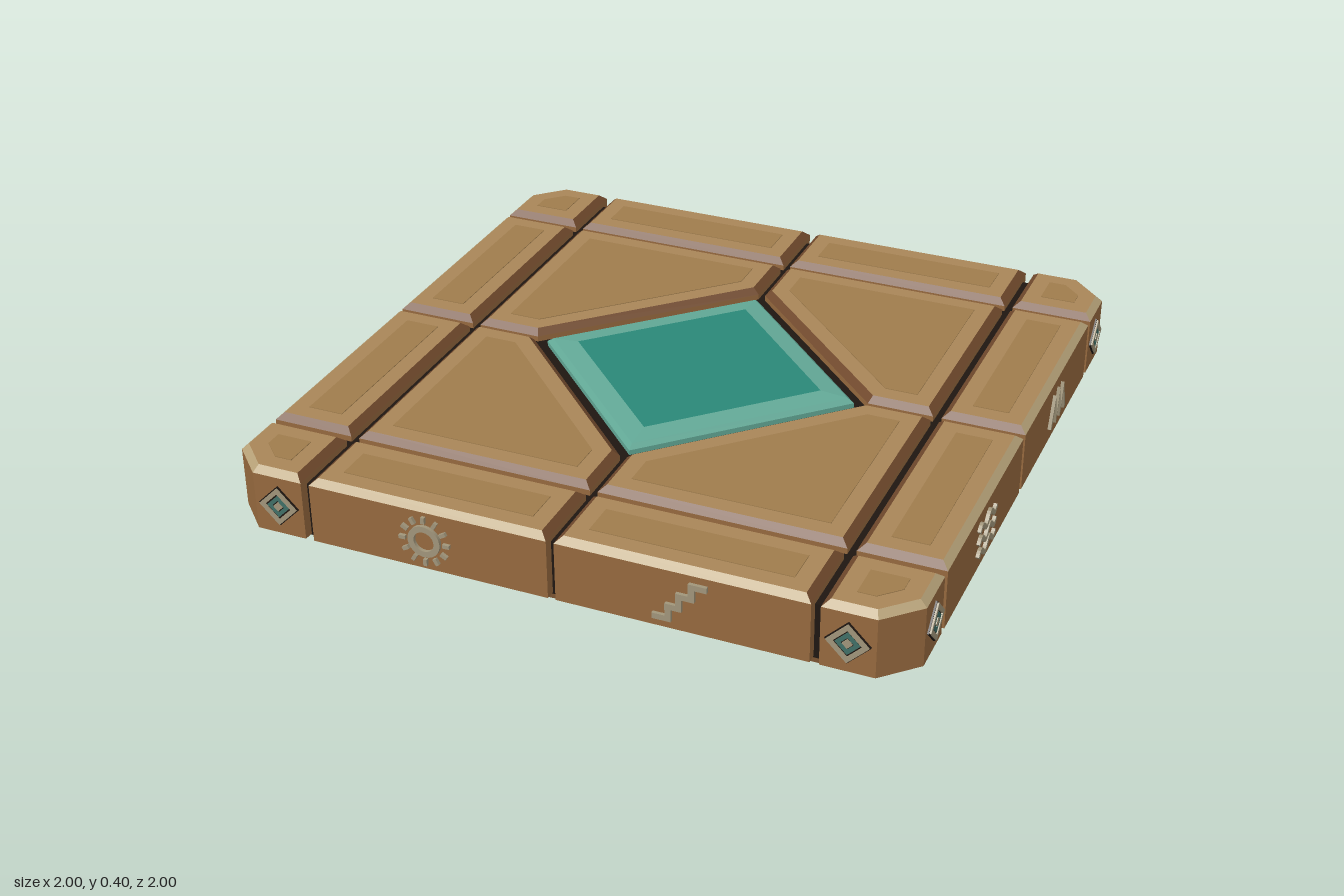
import * as THREE from 'three';

const mat = (color) => new THREE.MeshStandardMaterial({ color, flatShading: true });
const stone = mat(0x96693e), sand = mat(0xa88558), panelMat = mat(0x9f7c4c), edgeMat = mat(0xb5a077);
const bevelMat = mat(0x70492c), tierMat = mat(0x7a5431), dark = mat(0x1e1611);
const gemLight = mat(0x62a896), gemMat = mat(0x2a8778), carve = mat(0xa0957a), jade = mat(0x3f6f66);

// Convex polygons are lists of [x, z] with positive area
function orient(p) {
  let a = 0;
  p.forEach(([x, z], i) => { const q = p[(i + 1) % p.length]; a += x * q[1] - q[0] * z; });
  return a < 0 ? [...p].reverse() : p;
}

function inset(p, d) {
  const n = p.length;
  const normal = (a, b) => {
    const l = Math.hypot(b[0] - a[0], b[1] - a[1]);
    return [-(b[1] - a[1]) / l, (b[0] - a[0]) / l];
  };
  return p.map((c, i) => {
    const u = normal(p[(i + n - 1) % n], c), v = normal(c, p[(i + 1) % n]);
    const k = d / (1 + u[0] * v[0] + u[1] * v[1]);
    return [c[0] + k * (u[0] + v[0]), c[1] + k * (u[1] + v[1])];
  });
}

// Walls between stacked [polygon, y] rows, with optional caps and an edge filter
function loft(rows, { top = true, bottom = true, keep = () => true } = {}) {
  const pos = [];
  const put = (...pts) => pts.forEach(([c, y]) => pos.push(c[0], y, c[1]));
  for (let r = 0; r + 1 < rows.length; r++) {
    const [p, y0] = rows[r], [q, y1] = rows[r + 1];
    p.forEach((a, i) => {
      const j = (i + 1) % p.length, b = p[j];
      if (!keep(a, b)) return;
      put([a, y0], [q[i], y1], [q[j], y1]);
      put([a, y0], [q[j], y1], [b, y0]);
    });
  }
  const cap = ([p, y], up) => {
    for (let i = 1; i + 1 < p.length; i++)
      put([p[0], y], [p[up ? i + 1 : i], y], [p[up ? i : i + 1], y]);
  };
  if (bottom) cap(rows[0], false);
  if (top) cap(rows[rows.length - 1], true);
  const g = new THREE.BufferGeometry();
  g.setAttribute('position', new THREE.Float32BufferAttribute(pos, 3));
  g.computeVertexNormals();
  return g;
}

function add(parent, name, geometry, material) {
  const m = new THREE.Mesh(geometry, material);
  m.name = name;
  parent.add(m);
  return m;
}

const chamferedSquare = (r, c) => orient([[r, c - r], [r, r - c], [r - c, r], [c - r, r],
  [-r, r - c], [-r, c - r], [c - r, -r], [r - c, -r]]);

// Stone block: walls, bevel (pale on the outer rim), flat top and a faint panel
function block(parent, name, poly) {
  const g = new THREE.Group();
  g.name = name;
  parent.add(g);
  const p = orient(poly), q = inset(p, 0.02), f = inset(q, 0.05);
  const rim = (a, b) => {
    const x = Math.abs(a[0] + b[0]) / 2, z = Math.abs(a[1] + b[1]) / 2;
    return Math.max(x, z) > 0.98 || x + z > 1.85;
  };
  const open = { top: false, bottom: false };
  add(g, 'blockBody', loft([[p, 0.205], [p, 0.382]], { top: false }), stone);
  const bevel = [[p, 0.382], [q, 0.4]];
  add(g, 'innerBevel', loft(bevel, { ...open, keep: (a, b) => !rim(a, b) }), bevelMat);
  add(g, 'rimBevel', loft(bevel, { ...open, keep: rim }), edgeMat);
  add(g, 'blockTop', loft([[q, 0.4]], { bottom: false }), sand);
  add(g, 'topPanel', loft([[f, 0.4], [f, 0.402]], { bottom: false }), panelMat);
}

// Relief carvings, drawn in the local xy plane
const extrude = (shape, depth = 0.016) =>
  new THREE.ExtrudeGeometry(shape, { depth, bevelEnabled: false, curveSegments: 24 });

function ribbon(pts, w) {
  const left = [], right = [];
  pts.forEach(([x, y], i) => {
    const dir = (a, b) => new THREE.Vector2(b[0] - a[0], b[1] - a[1]).normalize();
    const d0 = dir(pts[Math.max(i - 1, 0)], pts[Math.max(i, 1)]);
    const d1 = i + 1 < pts.length ? dir(pts[i], pts[i + 1]) : d0;
    const k = w / 2 / Math.max(0.35, 1 + d0.dot(d1));
    const ox = -(d0.y + d1.y) * k, oy = (d0.x + d1.x) * k;
    left.push(new THREE.Vector2(x + ox, y + oy));
    right.unshift(new THREE.Vector2(x - ox, y - oy));
  });
  return extrude(new THREE.Shape([...left, ...right]));
}

function ring(rx, ry, w) {
  const s = new THREE.Shape().absellipse(0, 0, rx, ry, 0, Math.PI * 2);
  s.holes.push(new THREE.Path().absellipse(0, 0, rx - w, ry - w, 0, Math.PI * 2));
  return extrude(s);
}

function diamond(r, hole = 0) {
  const pts = (k) => [[k, 0], [0, k], [-k, 0], [0, -k]].map((a) => new THREE.Vector2(...a));
  const s = new THREE.Shape(pts(r));
  if (hole) s.holes.push(new THREE.Path(pts(hole)));
  return s;
}

const range = (n, f) => Array.from({ length: n }, (_, i) => f(i));

const carvings = {
  sun: (g) => {
    add(g, 'sunRing', ring(0.048, 0.048, 0.018), carve);
    for (let i = 0; i < 12; i++) {
      const a = i * Math.PI / 6, c = Math.cos(a), s = Math.sin(a);
      add(g, 'sunRay', ribbon([[c * 0.056, s * 0.056], [c * 0.076, s * 0.076]], 0.011), carve);
    }
  },
  stairs: (g) => add(g, 'stairLine', ribbon([[-0.075, -0.056], [-0.03, -0.056], [-0.03, -0.018], [0, -0.018],
    [0, 0.02], [0.035, 0.02], [0.035, 0.058], [0.078, 0.058]], 0.017), carve),
  waves: (g) => [-0.04, 0, 0.04].forEach((y) => add(g, 'waveLine',
    ribbon(range(25, (i) => [-0.078 + i * 0.0065, y + 0.013 * Math.sin(i / 24 * Math.PI * 4)]), 0.014), carve)),
  zigzag: (g) => add(g, 'zigzagLine', ribbon([[-0.075, -0.045], [-0.045, 0.042], [-0.022, -0.04], [0, 0.05],
    [0.022, -0.04], [0.045, 0.042], [0.075, -0.045]], 0.014), carve),
  spiral: (g) => add(g, 'spiralLine', ribbon(range(50, (i) => {
    const a = i / 49 * Math.PI * 4.5, r = 0.01 + 0.055 * i / 49;
    return [r * Math.cos(a), r * Math.sin(a)];
  }), 0.013), carve),
  eye: (g) => {
    add(g, 'eyeRing', ring(0.08, 0.052, 0.014), carve);
    add(g, 'eyeCentre', ring(0.042, 0.027, 0.013), carve);
  },
  gem: (g) => {
    add(g, 'charmBack', extrude(diamond(0.062), 0.011), dark);
    add(g, 'charmFrame', extrude(diamond(0.058, 0.04)), carve);
    add(g, 'charmStone', extrude(diamond(0.034, 0.018), 0.014), jade);
    add(g, 'charmCentre', extrude(diamond(0.014)), carve);
  },
};

export function createModel() {
  const model = new THREE.Group();
  model.name = 'steppedStonePlatform';

  // Stepped base and dark core
  const tier = (name, r, c, y0, y1, m) => {
    const p = chamferedSquare(r, c);
    add(model, name, loft([[p, y0], [p, y1 - 0.012], [inset(p, 0.012), y1]]), m);
  };
  tier('lowerTier', 0.64, 0.06, 0, 0.1, tierMat);
  tier('middleTier', 0.85, 0.07, 0.1, 0.205, tierMat);
  const core = chamferedSquare(0.96, 0.09);
  add(model, 'core', loft([[core, 0.2], [core, 0.365]]), dark);

  // Paving blocks, mirrored into each quarter
  const inner = [[0.011, 0.525], [0.525, 0.011], [0.72, 0.011], [0.72, 0.72], [0.011, 0.72]];
  const edge = [[0.011, 0.745], [0.72, 0.745], [0.72, 0.99], [0.011, 0.99]];
  const corner = [[0.745, 0.745], [0.99, 0.745], [0.99, 0.895], [0.895, 0.99], [0.745, 0.99]];
  for (const sx of [-1, 1]) for (const sz of [-1, 1]) {
    const flip = (p) => p.map(([x, z]) => [x * sx, z * sz]);
    block(model, 'innerTile', flip(inner));
    block(model, 'edgeBlock', flip(edge));
    block(model, 'sideBlock', flip(edge.map(([x, z]) => [z, x])));
    block(model, 'cornerBlock', flip(corner));
  }

  // Central jewel
  const d = (r) => orient([[r, 0], [0, r], [-r, 0], [0, -r]]);
  add(model, 'jewelRim', loft([[d(0.487), 0.36], [d(0.487), 0.38], [d(0.468), 0.393], [d(0.385), 0.4]],
    { top: false }), gemLight);
  add(model, 'jewelFace', loft([[d(0.385), 0.4]], { bottom: false }), gemMat);

  // Carvings on the four sides
  const sides = [['sun', 'stairs'], ['waves', 'zigzag'], ['spiral', 'eye'], ['stairs', 'sun']];
  sides.forEach(([a, b], i) => {
    const side = new THREE.Group();
    side.name = 'sideCarvings';
    side.rotation.y = i * Math.PI / 2;
    model.add(side);
    [['gem', -0.82], [a, -0.37], [b, 0.365], ['gem', 0.82]].forEach(([kind, x]) => {
      const g = new THREE.Group();
      g.name = kind + 'Carving';
      g.position.set(x, 0.295, 0.984);
      carvings[kind](g);
      side.add(g);
    });
  });
  return model;
}
